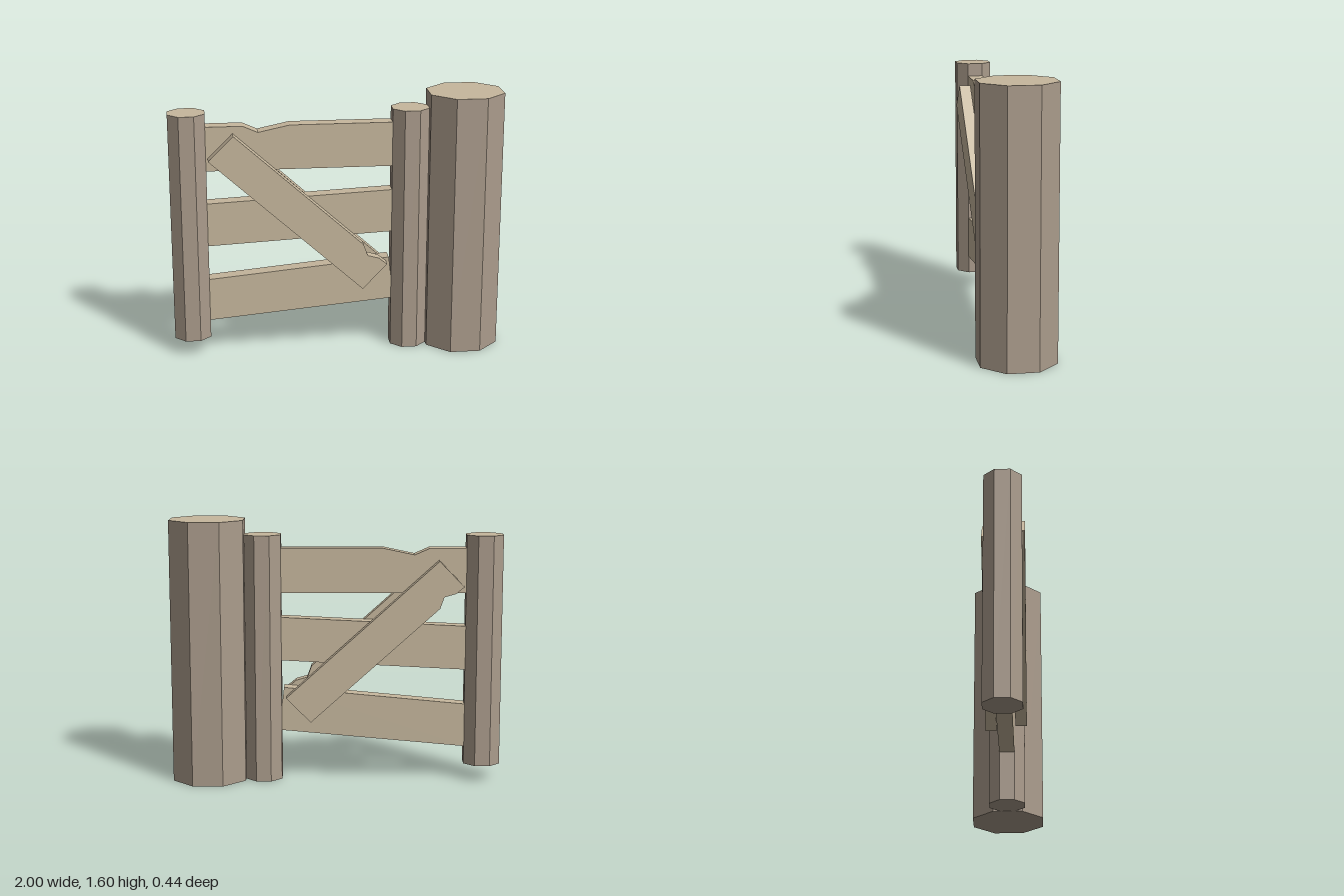
import * as THREE from 'three';

const bark = new THREE.MeshStandardMaterial({ color: 0xab9c8c, flatShading: true });
const wood = new THREE.MeshStandardMaterial({ color: 0xc6b79d, flatShading: true });

// Octagonal post with flats facing the axes and a pale sawn top
function post(name, x, halfWidth, bottom, top) {
  const radius = halfWidth / Math.cos(Math.PI / 8);
  const geometry = new THREE.CylinderGeometry(radius, radius, top - bottom, 8);
  geometry.rotateY(Math.PI / 8);
  const mesh = new THREE.Mesh(geometry, [bark, wood, bark]);
  mesh.name = name;
  mesh.position.set(x, (top + bottom) / 2, 0);
  return mesh;
}

// Plank cut from an outline in the xy plane, spanning zBack to zFront
function plank(name, outline, zBack, zFront) {
  const shape = new THREE.Shape(outline.map(([x, y]) => new THREE.Vector2(x, y)));
  const geometry = new THREE.ExtrudeGeometry(shape, { depth: zFront - zBack, bevelEnabled: false });
  geometry.translate(0, 0, zBack);
  const mesh = new THREE.Mesh(geometry, wood);
  mesh.name = name;
  return mesh;
}

export function createModel() {
  const gate = new THREE.Group();
  gate.name = 'gate';

  // Posts
  gate.add(
    post('mainPost', 0.778, 0.222, 0, 1.6),
    post('hingePost', 0.445, 0.11, 0, 1.51),
    post('latchPost', -0.89, 0.11, 0.1, 1.51)
  );

  // Rails between the posts, the top and bottom ones chipped
  const L = -0.785, R = 0.335;
  const rails = {
    topRail: [[L, 1.16], [R, 1.16], [R, 1.43], [-0.28, 1.43], [-0.47, 1.39], [-0.56, 1.43], [L, 1.43]],
    middleRail: [[L, 0.69], [R, 0.745], [R, 1.01], [L, 0.957]],
    bottomRail: [[L, 0.21], [R, 0.31], [R, 0.45], [0.32, 0.577], [L, 0.475]],
  };
  for (const [name, outline] of Object.entries(rails)) gate.add(plank(name, outline, -0.047, 0.047));

  // Diagonal braces: the back one is the front one turned half round
  const brace = [
    [-0.77, 1.24], [0.15, 0.405], [0.3, 0.56], [0.285, 0.57],
    [0.25, 0.6], [0.18, 0.62], [0.155, 0.69], [-0.62, 1.39],
  ];
  const turned = brace.map(([x, y]) => [-0.465 - x, 1.766 - y]);
  gate.add(plank('frontBrace', brace, 0.055, 0.125), plank('backBrace', turned, -0.127, -0.06));

  return gate;
}
